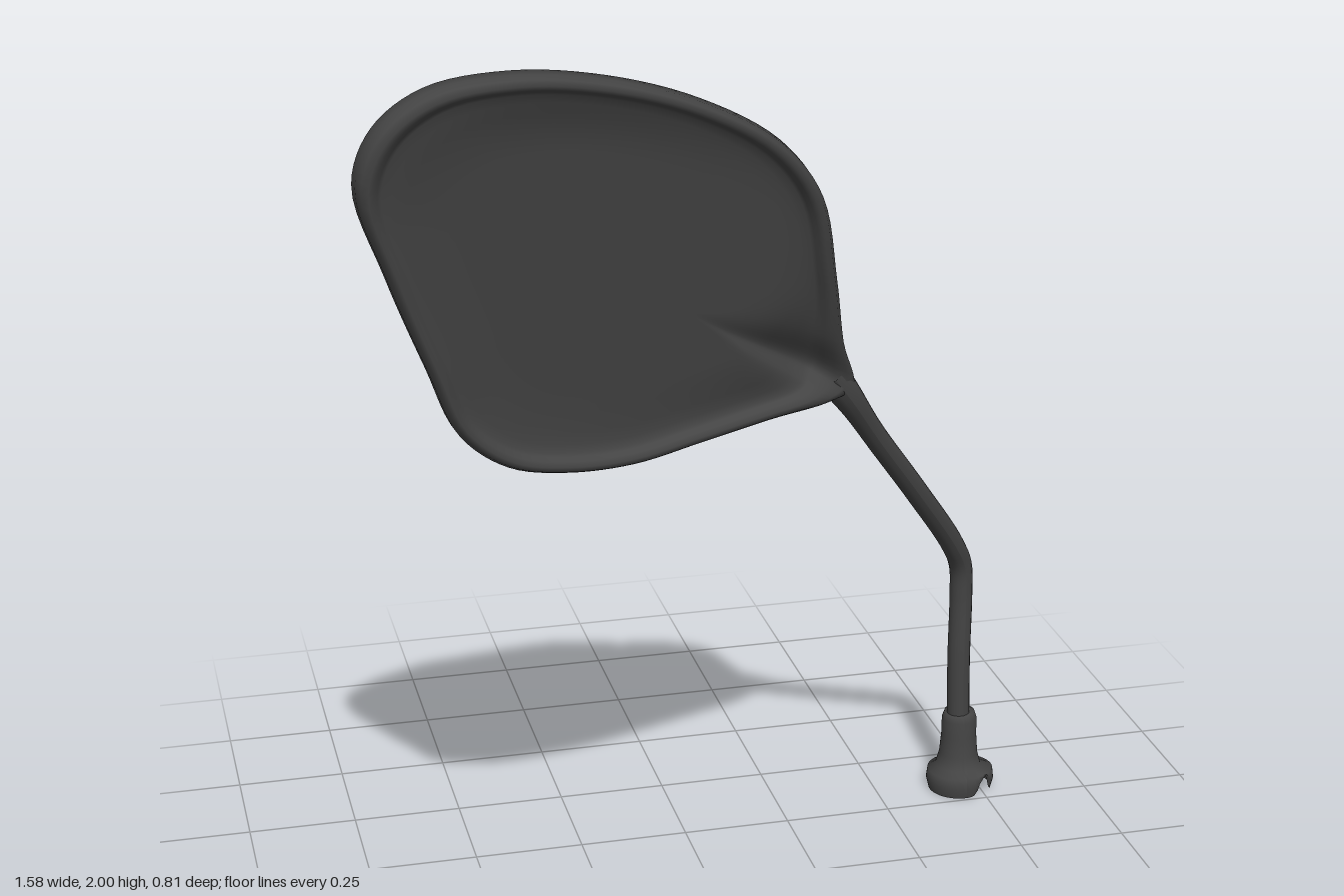
import * as THREE from 'three';
import { mergeVertices } from 'three/addons/utils/BufferGeometryUtils.js';

const curve = (pts, closed = false) =>
  new THREE.CatmullRomCurve3(pts.map(p => new THREE.Vector3(...p)), closed);

// Outline of the housing: outer end, over the top to the neck, back along the bottom
const rim = curve([
  [-0.79, 1.80, 0.372], [-0.75, 1.91, 0.385], [-0.65, 1.98, 0.38], [-0.48, 2.0, 0.36],
  [-0.28, 1.97, 0.318], [-0.08, 1.90, 0.265], [0.10, 1.79, 0.205], [0.20, 1.66, 0.158],
  [0.25, 1.46, 0.10], [0.285, 1.30, 0.042], [0.33, 1.17, -0.02], [0.26, 1.158, 0.025],
  [0.12, 1.148, 0.07], [-0.05, 1.125, 0.115], [-0.20, 1.103, 0.148], [-0.35, 1.11, 0.183],
  [-0.48, 1.145, 0.215], [-0.585, 1.235, 0.25], [-0.65, 1.39, 0.288], [-0.73, 1.60, 0.332],
], true);

// Ridge along the back of the housing, outer end to neck
const ridge = curve([
  [-0.705, 1.80, 0.25], [-0.635, 1.73, 0.165], [-0.53, 1.63, 0.035], [-0.42, 1.535, -0.068],
  [-0.30, 1.45, -0.165], [-0.18, 1.38, -0.235], [-0.07, 1.32, -0.247], [0.03, 1.265, -0.213],
  [0.12, 1.22, -0.15], [0.21, 1.18, -0.083], [0.29, 1.165, -0.045],
]);

const N = 120;

// Joins closed rings of N points into a smooth skin
function skin(rings) {
  const pos = [], index = [];
  rings.forEach(r => r.forEach(p => pos.push(p.x, p.y, p.z)));
  for (let j = 0; j < rings.length - 1; j++) {
    for (let i = 0; i < N; i++) {
      const a = j * N + i, c = j * N + (i + 1) % N;
      index.push(a, c, a + N, c, c + N, a + N);
    }
  }
  let g = new THREE.BufferGeometry();
  g.setAttribute('position', new THREE.Float32BufferAttribute(pos, 3));
  g.setIndex(index);
  g = mergeVertices(g, 1e-4);
  g.computeVertexNormals();
  return g;
}

const ring = fn => Array.from({ length: N }, (_, i) => fn(i / N));

// Ring on the front: k moves from the outline to the centre, dz pushes forward;
// the face is a flat tilted plane that eases into the outline
const centre = new THREE.Vector3(-0.27, 1.55, 0);
const frontRing = ([k, dz]) => ring(u => {
  const p = rim.getPoint(u), edgeZ = p.z;
  const neck = 1 + 1.2 * (1 - k) * Math.exp(-Math.pow((u - 0.5) / 0.05, 2));
  p.lerp(centre, Math.min(1, k * neck));
  const faceZ = -0.099 - 0.205 * p.x + 0.173 * p.y;
  p.z = THREE.MathUtils.lerp(edgeZ, faceZ, THREE.MathUtils.smoothstep(k, 0, 0.3)) + dz;
  return p;
});

// Ring on the back shell: t runs from the outline to the ridge,
// nearly straight on top and full underneath
const backRing = t => ring(u => {
  const a = rim.getPoint(u), b = ridge.getPoint(u < 0.5 ? 2 * u : 2 - 2 * u);
  const top = t - 0.03 * Math.sin(Math.PI * t) - 0.05 * Math.sin(2 * Math.PI * t);
  const bottom = 1 - Math.pow(1 - t, 2.1);
  const depth = THREE.MathUtils.lerp(bottom, top, (1 + Math.sin(2 * Math.PI * u)) / 2);
  const z = THREE.MathUtils.lerp(a.z - 0.03, b.z, depth);
  a.lerp(b, t);
  a.z = z;
  return a;
});

export function createModel() {
  const group = new THREE.Group();
  const black = new THREE.MeshStandardMaterial({ color: 0x444444 });
  black.name = 'black plastic';
  black.side = THREE.DoubleSide;
  const add = (name, geometry) => {
    const m = new THREE.Mesh(geometry, black);
    m.name = name;
    group.add(m);
    return m;
  };

  // Housing: flat mirror face, rounded lip and back shell in one skin
  const front = [[1, 0], [0.7, 0], [0.4, 0], [0.3, 0], [0.2, 0], [0.14, 0], [0.1, 0.001],
    [0.085, 0.007], [0.07, 0.018], [0.048, 0.025], [0.022, 0.019], [0.005, 0.002]];
  const shell = Array.from({ length: 21 }, (_, i) => backRing(i / 20));
  add('housing', skin([...front.map(frontRing), ...shell]));

  // Bent stem, flared where it meets the housing
  const path = curve([
    [0.27, 1.21, -0.025], [0.325, 1.135, -0.048], [0.40, 1.025, -0.098], [0.53, 0.845, -0.187],
    [0.65, 0.67, -0.278], [0.683, 0.60, -0.308], [0.69, 0.52, -0.317],
    [0.69, 0.36, -0.318], [0.695, 0.18, -0.322],
  ]);
  const stem = new THREE.TubeGeometry(path, 90, 0.027, 16);
  const P = stem.attributes.position, v = new THREE.Vector3();
  for (let i = 0; i < P.count; i++) {
    const u = stem.attributes.uv.getX(i), c = path.getPointAt(u);
    const s = 1 + 0.4 * Math.exp(-Math.pow(u / 0.1, 2));
    v.fromBufferAttribute(P, i).sub(c).multiplyScalar(s).add(c);
    P.setXYZ(i, v.x, v.y, v.z);
  }
  stem.computeVertexNormals();
  add('stem', stem);

  // Hollow mounting foot with a notched lower edge and one leg splayed outward
  const profile = [[0.07, 0.005], [0.076, 0.03], [0.073, 0.055], [0.054, 0.068], [0.046, 0.1],
    [0.042, 0.15], [0.042, 0.19], [0.036, 0.208], [0.02, 0.21]];
  const foot = new THREE.LatheGeometry(profile.map(p => new THREE.Vector2(...p)), 48);
  const F = foot.attributes.position;
  for (let i = 0; i < F.count; i++) {
    const x = F.getX(i), y = F.getY(i), z = F.getZ(i);
    if (y > 0.06) continue;
    const angle = Math.atan2(x, Math.abs(z));
    const notch = Math.exp(-Math.pow((angle - 0.64) / 0.22, 2));
    F.setXYZ(i, x + 0.012 * Math.max(0, Math.sin(angle)), y + (0.058 - y) * notch, z);
  }
  foot.computeVertexNormals();
  add('mountingFoot', foot).position.set(0.70, 0, -0.328);

  return group;
}
